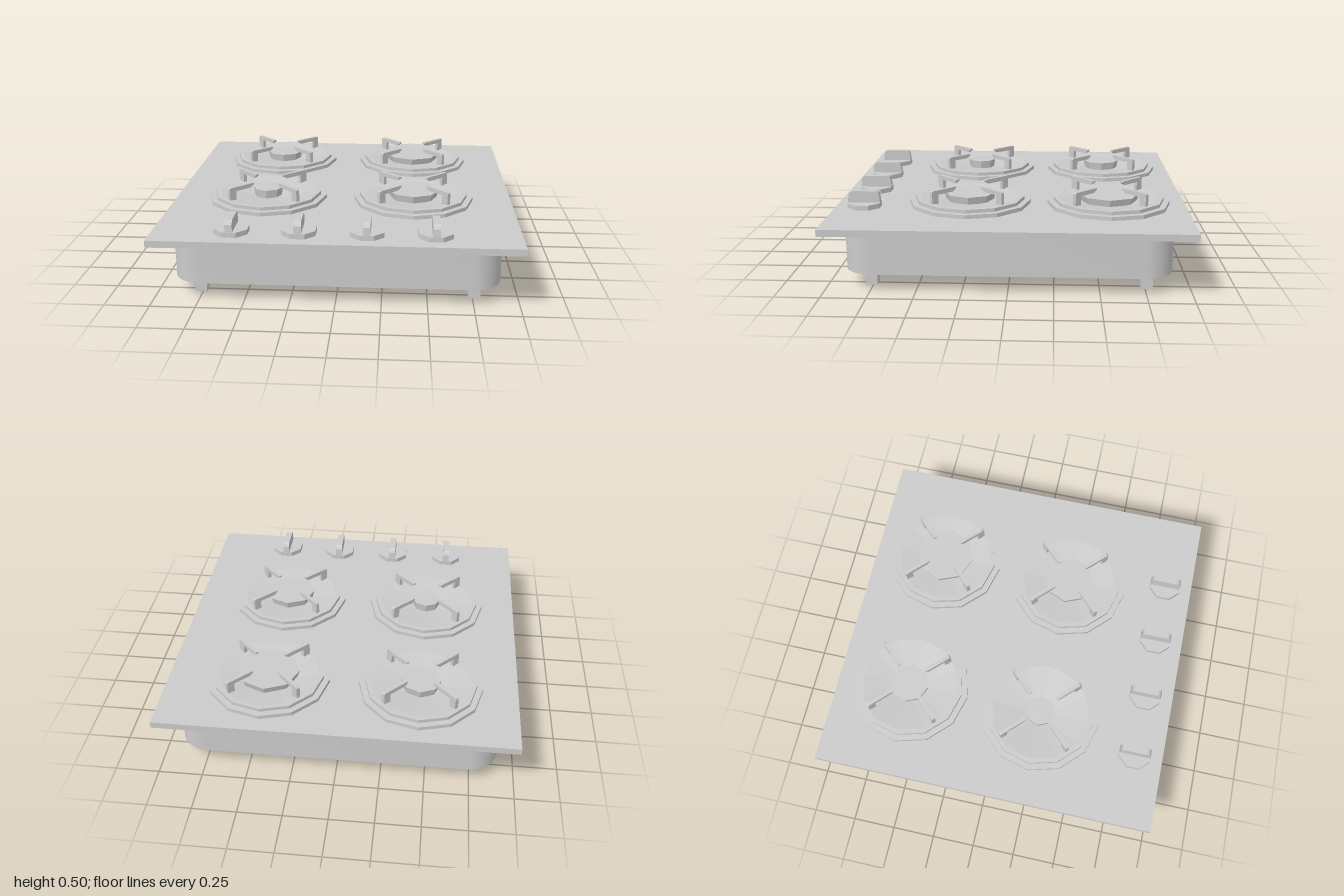
import * as THREE from 'three';
import { toCreasedNormals } from 'three/addons/utils/BufferGeometryUtils.js';

const smooth = new THREE.MeshStandardMaterial({ color: 0xcccccc });
const flat = new THREE.MeshStandardMaterial({ color: 0xcccccc, flatShading: true });

function add(parent, name, geometry, material, x = 0, y = 0, z = 0) {
  const mesh = new THREE.Mesh(geometry, material);
  mesh.name = name;
  mesh.position.set(x, y, z);
  parent.add(mesh);
  return mesh;
}

const points = (list) => list.map(([x, y]) => new THREE.Vector2(x, y));

// Extrusion of a closed profile, centred across its thickness
function slab(profile, thickness) {
  const geo = new THREE.ExtrudeGeometry(new THREE.Shape(points(profile)), { depth: thickness, bevelEnabled: false });
  return geo.translate(0, 0, -thickness / 2);
}

// Square casing with rounded vertical corners
function casingGeometry(half, r, height) {
  const s = new THREE.Shape();
  const c = half - r;
  [[c, c], [-c, c], [-c, -c], [c, -c]].forEach(([x, y], i) =>
    s.absarc(x, y, r, i * Math.PI / 2, (i + 1) * Math.PI / 2, false));
  s.closePath();
  const geo = new THREE.ExtrudeGeometry(s, { depth: height, bevelEnabled: false, curveSegments: 5 });
  return toCreasedNormals(geo.rotateX(-Math.PI / 2), 0.7);
}

function createBurner(capRadius) {
  const burner = new THREE.Group();
  burner.name = 'burner';

  // Stepped rim with a shallow dish inside
  const dish = [[0.352, 0], [0.352, 0.022], [0.317, 0.022], [0.317, 0.042], [0.29, 0.042], [0, 0.006]];
  add(burner, 'burnerDish', new THREE.LatheGeometry(points(dish), 12), flat);

  // Flame cap, slightly narrower at its foot
  add(burner, 'burnerCap', new THREE.CylinderGeometry(capRadius, capRadius * 0.9, 0.06, 8), flat, 0, 0.035, 0);

  // Four bent pan supports on the diagonals
  const arm = slab([[0.284, 0.015], [0.284, 0.108], [0.277, 0.115], [0.112, 0.115],
    [0.112, 0.105], [0.135, 0.09], [0.24, 0.09], [0.24, 0.015]], 0.022);
  for (let i = 0; i < 4; i++) {
    add(burner, 'panSupport', arm, flat).rotation.y = Math.PI / 4 + i * Math.PI / 2;
  }
  return burner;
}

function createKnob() {
  const knob = new THREE.Group();
  knob.name = 'knob';
  const base = new THREE.CylinderGeometry(0.1, 0.1, 0.028, 8).rotateY(Math.PI / 8);
  add(knob, 'knobBase', base, flat, 0, 0.014, 0);

  // Upright grip with rounded top corners
  const half = [[0.092, 0.02], [0.088, 0.07], [0.08, 0.086], [0.065, 0.094]];
  const profile = [...half, ...half.map(([x, y]) => [-x, y]).reverse()];
  add(knob, 'knobGrip', slab(profile, 0.04).rotateY(Math.PI / 2), flat);
  return knob;
}

export function createModel() {
  const model = new THREE.Group();
  model.name = 'gasHob';
  const top = 0.38;

  add(model, 'topPlate', new THREE.BoxGeometry(2, 0.038, 2), smooth, 0, top - 0.019, 0);
  add(model, 'casing', casingGeometry(0.9, 0.16, 0.245), smooth, 0, 0.098, 0);

  // Feet
  for (const x of [-0.76, 0.76]) {
    for (const z of [-0.76, 0.76]) {
      add(model, 'foot', new THREE.BoxGeometry(0.065, 0.1, 0.065), smooth, x, 0.05, z);
    }
  }

  // Burners: x, z, cap radius
  for (const [x, z, r] of [[-0.45, -0.56, 0.115], [0.42, -0.56, 0.177], [-0.45, 0.24, 0.088], [0.42, 0.24, 0.15]]) {
    const burner = createBurner(r);
    burner.position.set(x, top, z);
    model.add(burner);
  }

  // Row of control knobs along the front
  for (let i = 0; i < 4; i++) {
    const knob = createKnob();
    knob.position.set(-0.565 + i * 0.367, top, 0.835);
    model.add(knob);
  }
  return model;
}
